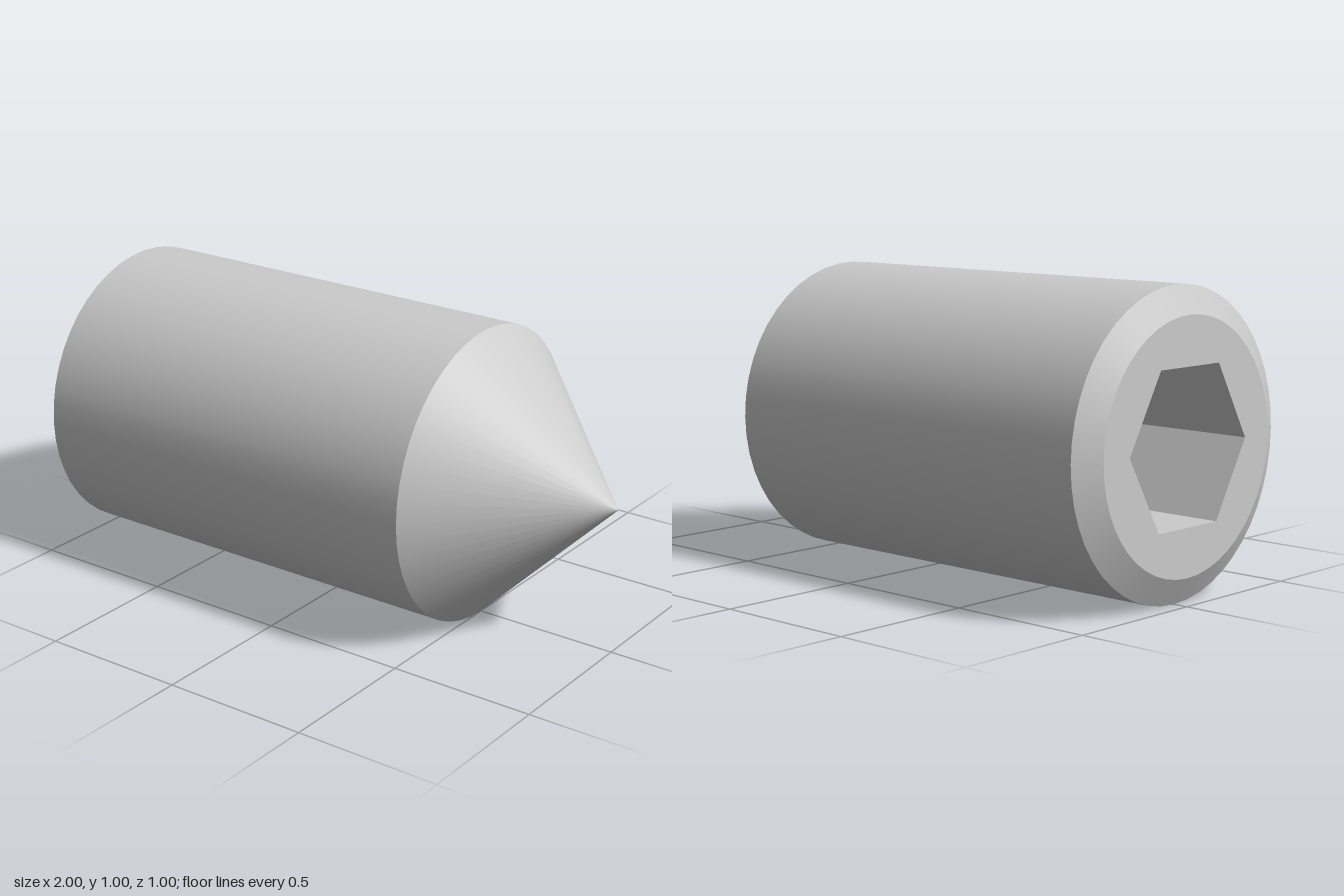
import * as THREE from 'three';

const SIDES = 48, RADIUS = 0.5, RIM = 0.41, SOCKET = 0.289, FLOOR = -0.4;

// Regular polygon with a corner on the first axis
const polygon = (r, n) => Array.from({ length: n }, (_, i) => {
  const a = (i / n) * Math.PI * 2;
  return new THREE.Vector2(r * Math.cos(a), r * Math.sin(a));
});

export function createModel() {
  const model = new THREE.Group();
  model.name = 'setScrew';
  const smooth = new THREE.MeshStandardMaterial({ color: 0xcccccc });
  const flat = new THREE.MeshStandardMaterial({ color: 0xcccccc, flatShading: true });

  const add = (name, geometry, material = smooth) => {
    const mesh = new THREE.Mesh(geometry, material);
    mesh.name = name;
    mesh.position.y = RADIUS;
    model.add(mesh);
  };

  // Turned surface along x from [x, radius] pairs
  const turned = (profile, sides = SIDES) =>
    new THREE.LatheGeometry(profile.map(([x, r]) => new THREE.Vector2(r, x)), sides)
      .rotateZ(-Math.PI / 2);

  // Separate bands keep the edges between them sharp
  add('chamfer', turned([[-1, RIM], [-0.95, RADIUS]]));
  add('shank', turned([[-0.95, RADIUS], [0.5, RADIUS]]));
  add('conePoint', turned([[0.5, RADIUS], [1, 0]]));

  // Flat end with a hexagonal opening
  const end = new THREE.Shape(polygon(RIM, SIDES));
  end.holes.push(new THREE.Path(polygon(SOCKET, 6)));
  add('endFace', new THREE.ShapeGeometry(end).rotateY(-Math.PI / 2).translate(-1, 0, 0));

  // Hex socket: floor, then walls facing inward
  add('hexSocket', turned([[FLOOR, 0], [FLOOR, SOCKET], [-1, SOCKET]], 6), flat);

  return model;
}
